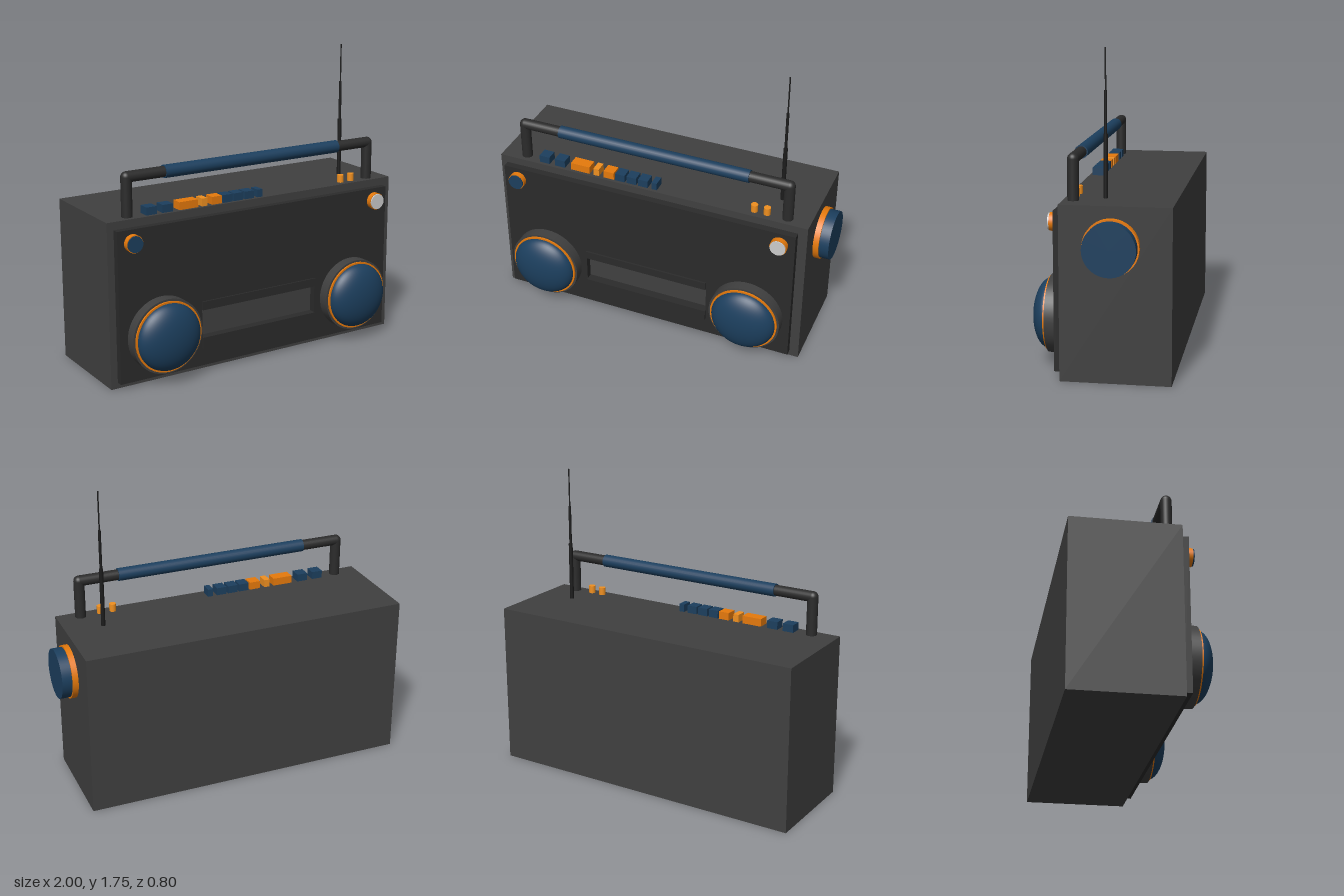
import * as THREE from 'three';

const mat = (color) => new THREE.MeshStandardMaterial({ color });

export function createModel() {
  const group = new THREE.Group();
  const grey = mat(0x404040), dark = mat(0x2b2b2b), blue = mat(0x1c3f5e);
  const orange = mat(0xe67a0c), amber = mat(0xf09020), silver = mat(0xcccccc), black = mat(0x1c1c1c);

  const add = (name, geo, material, x = 0, y = 0, z = 0, parent = group) => {
    const m = new THREE.Mesh(geo, material);
    m.name = name;
    m.position.set(x, y, z);
    parent.add(m);
    return m;
  };
  // Box given by its extents
  const box = (name, material, x0, x1, y0, y1, z0, z1) =>
    add(name, new THREE.BoxGeometry(x1 - x0, y1 - y0, z1 - z0), material,
      (x0 + x1) / 2, (y0 + y1) / 2, (z0 + z1) / 2);
  // Cylinder from a to b along the given axis
  const rod = (name, material, r, axis, a, b, x, y, z, parent = group, seg = 32) => {
    const geo = new THREE.CylinderGeometry(r, r, b - a, seg);
    if (axis === 'x') geo.rotateZ(-Math.PI / 2);
    if (axis === 'z') geo.rotateX(Math.PI / 2);
    const m = add(name, geo, material, x, y, z, parent);
    m.position[axis] = (a + b) / 2;
    return m;
  };

  // Case
  box('case', grey, -1, 0.91, 0, 0.955, -0.4, 0.2);

  // Front panel with the cassette opening
  const rect = (P, x0, x1, y0, y1) => {
    const p = new P();
    p.moveTo(x0, y0);
    p.lineTo(x1, y0);
    p.lineTo(x1, y1);
    p.lineTo(x0, y1);
    p.closePath();
    return p;
  };
  const panel = rect(THREE.Shape, -0.96, 0.855, 0.035, 0.91);
  panel.holes.push(rect(THREE.Path, -0.44, 0.335, 0.205, 0.37));
  add('frontPanel', new THREE.ExtrudeGeometry(panel, { depth: 0.04, bevelEnabled: false }), dark, 0, 0, 0.2);
  box('cassetteTrimTop', dark, -0.44, 0.335, 0.37, 0.42, 0.24, 0.25);
  box('cassetteTrimBottom', dark, -0.44, 0.335, 0.14, 0.205, 0.24, 0.25);

  // Speakers: housing, trim ring and flattened dome
  for (const [name, x] of [['rightSpeaker', -0.695], ['leftSpeaker', 0.595]]) {
    const s = new THREE.Group();
    s.name = name;
    s.position.set(x, 0.285, 0);
    group.add(s);
    rod('housing', grey, 0.217, 'z', 0.24, 0.305, 0, 0, 0, s, 48);
    rod('trimRing', orange, 0.205, 'z', 0.3, 0.315, 0, 0, 0, s, 48);
    const dome = new THREE.SphereGeometry(0.195, 48, 16, 0, Math.PI * 2, 0, Math.PI / 2);
    dome.rotateX(Math.PI / 2).scale(1, 1, 0.09 / 0.195);
    add('dome', dome, blue, 0, 0, 0.31, s);
  }

  // Small front dials
  for (const [name, x, face] of [['rightDial', -0.87, blue], ['leftDial', 0.765, silver]]) {
    rod(name + 'Rim', orange, 0.05, 'z', 0.24, 0.272, x, 0.835, 0);
    rod(name + 'Face', face, 0.046, 'z', 0.265, 0.28, x, 0.835, 0);
  }

  // Tuning knob on the side
  rod('tuningKnobBase', orange, 0.152, 'x', 0.91, 0.943, 0, 0.74, -0.08, group, 48);
  rod('tuningKnob', blue, 0.143, 'x', 0.94, 1, 0, 0.74, -0.08, group, 48);

  // Carrying handle
  for (const [name, x] of [['right', -0.85], ['left', 0.775]]) {
    rod(name + 'HandlePost', dark, 0.031, 'y', 0.955, 1.177, x, 0, 0.145, group, 24);
    add(name + 'HandleCorner', new THREE.SphereGeometry(0.031, 24, 16), dark, x, 1.177, 0.145);
  }
  rod('handleBar', dark, 0.031, 'x', -0.85, 0.775, 0, 1.177, 0.145, group, 24);
  rod('handleGrip', blue, 0.037, 'x', -0.62, 0.545, 0, 1.177, 0.145, group, 24);

  // Telescopic antenna
  [[0.012, 0.955, 1.3], [0.008, 1.3, 1.53], [0.004, 1.53, 1.755]].forEach(([r, a, b], i) =>
    rod('antennaSection' + (i + 1), black, r, 'y', a, b, 0.69, 0, -0.015, group, 16));

  // Row of push buttons
  [
    [-0.75, -0.685, blue], [-0.65, -0.585, blue], [-0.545, -0.425, orange],
    [-0.4, -0.365, amber], [-0.335, -0.27, orange], [-0.262, -0.202, blue],
    [-0.19, -0.13, blue], [-0.117, -0.057, blue], [-0.033, 0, blue],
  ].forEach(([x0, x1, m], i) => box('button' + (i + 1), m, x0, x1, 0.95, 1, 0.115, 0.182));

  // Two round top pegs
  for (const [i, x] of [0.58, 0.655].entries())
    rod('peg' + (i + 1), amber, 0.02, 'y', 0.95, 1, x, 0, 0.15, group, 16);

  return group;
}
